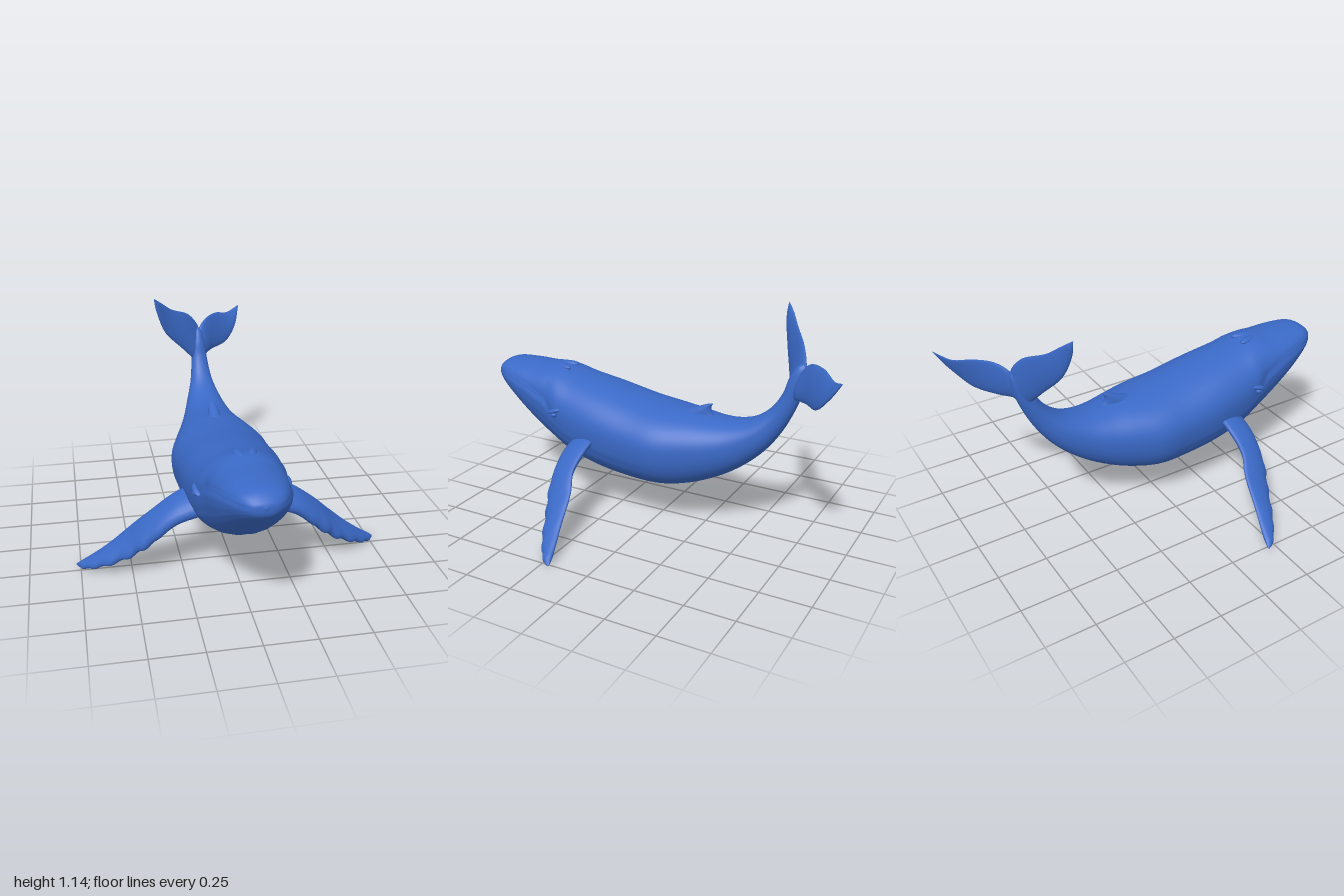
import * as THREE from 'three';

const V = (p) => new THREE.Vector3(...p);
const { smoothstep, lerp } = THREE.MathUtils;
const spline = (pts) => new THREE.CatmullRomCurve3(pts.map(V));

// Skin a list of closed rings with smooth, seamless normals
function loft(rings) {
  const n = rings[0].length, pos = [], idx = [];
  rings.forEach((ring) => ring.forEach((p) => pos.push(p.x, p.y, p.z)));
  for (let i = 0; i < rings.length - 1; i++) {
    for (let j = 0; j < n; j++) {
      const k = (j + 1) % n, a = i * n, b = a + n;
      idx.push(a + j, b + j, a + k, b + j, b + k, a + k);
    }
  }
  const geo = new THREE.BufferGeometry();
  geo.setAttribute('position', new THREE.Float32BufferAttribute(pos, 3));
  geo.setIndex(idx);
  geo.computeVertexNormals();
  return geo;
}

// Lens-section fin between a leading and a trailing edge
function blade(leadPts, trailPts, rootThick, tipThick, knobs = 0) {
  const lead = spline(leadPts), trail = spline(trailPts), rings = [];
  const steps = 48, half = 12;
  for (let i = 0; i <= steps; i++) {
    const t = i / steps, a = lead.getPoint(t), b = trail.getPoint(t);
    const chord = b.clone().sub(a);
    const span = lead.getTangent(t).add(trail.getTangent(t));
    const normal = span.cross(chord).normalize();
    // Knobbly leading edge
    a.addScaledVector(chord, -knobs * Math.sin(t * 55) * smoothstep(t, 0.2, 0.4));
    chord.copy(b).sub(a);
    const thick = lerp(rootThick, tipThick, t) * Math.min(1, Math.sqrt((1 - t) * 8));
    const ring = [];
    for (let j = 0; j < half * 2; j++) {
      const ang = (j / half) * Math.PI;
      ring.push(a.clone().addScaledVector(chord, (1 - Math.cos(ang)) / 2)
        .addScaledVector(normal, Math.sin(ang) * thick * (1 + 0.3 * Math.cos(ang))));
    }
    rings.push(ring);
  }
  return loft(rings);
}

// Half width, back z, y and belly z, y from snout to tail
const SECTIONS = [
  [0, 0.995, 0.675, 0.995, 0.67], [0.06, 0.98, 0.7, 0.985, 0.63],
  [0.115, 0.93, 0.73, 0.93, 0.58], [0.16, 0.82, 0.738, 0.82, 0.49],
  [0.185, 0.7, 0.738, 0.7, 0.395], [0.2, 0.6, 0.743, 0.6, 0.33],
  [0.225, 0.47, 0.712, 0.47, 0.272], [0.245, 0.3, 0.68, 0.3, 0.23],
  [0.25, 0.1, 0.64, 0.1, 0.208], [0.25, -0.05, 0.62, -0.05, 0.21],
  [0.215, -0.18, 0.61, -0.18, 0.235], [0.17, -0.3, 0.6, -0.32, 0.29],
  [0.13, -0.4, 0.605, -0.45, 0.37], [0.095, -0.5, 0.635, -0.56, 0.47],
  [0.062, -0.585, 0.7, -0.64, 0.58], [0.045, -0.64, 0.785, -0.7, 0.7],
  [0.036, -0.665, 0.86, -0.735, 0.8], [0.02, -0.7, 0.92, -0.75, 0.89],
  [0, -0.735, 0.935, -0.745, 0.93],
];

// Height of the mouth line along the head
function jawY(z) {
  const line = [[1, 0.68], [0.89, 0.673], [0.73, 0.635], [0.61, 0.587], [0.54, 0.5]];
  for (let i = 1; i < line.length; i++) {
    const [z0, y0] = line[i - 1], [z1, y1] = line[i];
    if (z >= z1) return lerp(y0, y1, (z0 - z) / (z0 - z1));
  }
  return 0.5;
}

function bodyGeometry() {
  const back = spline(SECTIONS.map(([w, z, y]) => [w, y, z]));
  const belly = spline(SECTIONS.map(([w, , , z, y]) => [w, y, z]));
  const rings = [], steps = 170, sides = 128;
  for (let i = 0; i <= steps; i++) {
    const top = back.getPoint(i / steps), bot = belly.getPoint(i / steps);
    const w = Math.max(0, top.x), head = smoothstep(top.z, 0.45, 0.7);
    const widest = lerp(0.55, 0.64, head);
    const ring = [];
    for (let j = 0; j < sides; j++) {
      const ang = (j / sides) * Math.PI * 2, s = Math.sin(ang), c = Math.cos(ang);
      const p = c > 0 ? 2.1 : 2.3;
      let x = -Math.sign(s) * Math.abs(s) ** (2 / p) * w;
      const v = Math.sign(c) * Math.abs(c) ** (2 / p);
      let f = widest + v * (c > 0 ? 1 - widest : widest);
      // Throat pleats
      const pleat = 0.006 * Math.cos(ang * 24) * smoothstep(-c, 0.05, 0.4) * smoothstep(top.z, -0.1, 0.2);
      x *= 1 + pleat;
      f -= pleat * (f - widest);
      const y = lerp(bot.y, top.y, f), z = lerp(bot.z, top.z, f);
      // Upper jaw sits inside the lower lip, with a crease between them
      const d = y - jawY(z), mouth = smoothstep(z, 0.53, 0.62);
      x *= 1 - mouth * (0.06 * smoothstep(d, 0, 0.02) + 0.05 * Math.exp(-((d / 0.013) ** 2)));
      ring.push(new THREE.Vector3(x, y, z));
    }
    rings.push(ring);
  }
  return loft(rings);
}

export function createModel() {
  const group = new THREE.Group();
  const blue = new THREE.MeshStandardMaterial({ color: 0x3a69c6 });
  blue.name = 'whale blue';
  const add = (name, geo) => {
    const mesh = new THREE.Mesh(geo, blue);
    mesh.name = name;
    group.add(mesh);
    return mesh;
  };
  const lump = (name, pos, size, rot = [0, 0, 0]) => {
    const mesh = add(name, new THREE.SphereGeometry(1, 20, 14));
    mesh.position.set(...pos);
    mesh.scale.set(...size);
    mesh.rotation.set(...rot);
  };

  add('body', bodyGeometry());

  // Dorsal fin
  add('dorsalFin', blade(
    [[0, 0.6, -0.1], [0, 0.632, -0.19], [0, 0.652, -0.24], [0, 0.662, -0.275]],
    [[0, 0.57, -0.31], [0, 0.61, -0.275], [0, 0.64, -0.268], [0, 0.66, -0.276]], 0.035, 0.008));

  // Twisted tail flukes
  add('rightFluke', blade(
    [[0, 0.72, -0.68], [-0.045, 0.775, -0.66], [-0.1, 0.835, -0.635], [-0.2, 0.95, -0.58], [-0.245, 1.07, -0.55], [-0.262, 1.15, -0.55]],
    [[0.015, 0.88, -0.745], [0, 0.94, -0.74], [-0.055, 1.012, -0.705], [-0.16, 1.065, -0.635], [-0.22, 1.115, -0.59], [-0.262, 1.15, -0.551]], 0.028, 0.006));
  add('leftFluke', blade(
    [[0, 0.74, -0.69], [0.035, 0.765, -0.715], [0.09, 0.777, -0.78], [0.19, 0.795, -0.86], [0.255, 0.865, -0.925], [0.293, 0.97, -1]],
    [[0, 0.88, -0.73], [0.02, 0.93, -0.75], [0.065, 0.963, -0.795], [0.13, 0.968, -0.87], [0.21, 0.948, -0.94], [0.292, 0.971, -1]], 0.028, 0.006));

  for (const s of [1, -1]) {
    const side = s > 0 ? 'left' : 'right';
    const m = (pts) => pts.map(([x, y, z]) => [x * s, y, z]);
    // Long drooping flipper
    add(side + 'Flipper', blade(
      m([[0.18, 0.36, 0.44], [0.3, 0.32, 0.437], [0.42, 0.215, 0.42], [0.53, 0.125, 0.375], [0.66, 0.05, 0.31], [0.745, 0.015, 0.245], [0.772, 0.014, 0.205]]),
      m([[0.18, 0.46, 0.28], [0.29, 0.41, 0.29], [0.4, 0.335, 0.295], [0.48, 0.255, 0.262], [0.6, 0.145, 0.24], [0.7, 0.065, 0.215], [0.77, 0.018, 0.2]]),
      0.042, 0.014, 0.04));
    // Eye with a heavy brow
    lump(side + 'Eye', [0.217 * s, 0.53, 0.53], [0.016, 0.014, 0.018]);
    lump(side + 'Brow', [0.206 * s, 0.548, 0.53], [0.026, 0.013, 0.045], [0.35, 0, 0]);
    // Blowhole ridge
    lump(side + 'BlowholeRidge', [0.03 * s, 0.732, 0.585], [0.022, 0.016, 0.055], [0, -0.25 * s, 0]);
  }
  return group;
}
